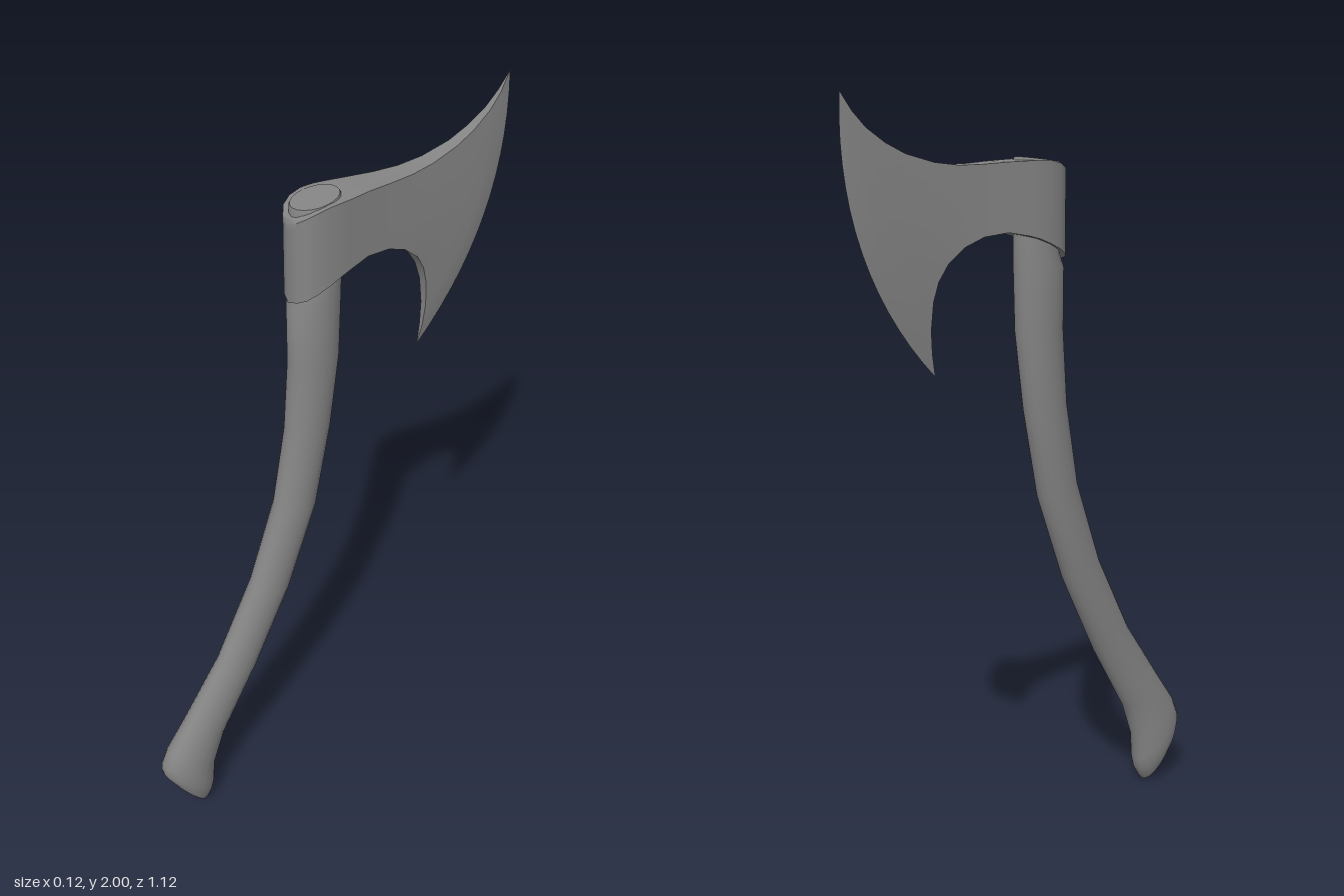
import * as THREE from 'three';
import { toCreasedNormals } from 'three/addons/utils/BufferGeometryUtils.js';

// Skin a list of closed rings (equal point counts); optionally fan-cap both ends.
function loft(rings, capped, crease) {
  const n = rings[0].length;
  const points = rings.flat();
  const index = [];
  for (let r = 0; r < rings.length - 1; r++) {
    for (let i = 0; i < n; i++) {
      const a = r * n + i, b = r * n + (i + 1) % n;
      index.push(a, b, b + n, a, b + n, a + n);
    }
  }
  if (capped) {
    const last = (rings.length - 1) * n;
    for (let i = 1; i < n - 1; i++) {
      index.push(0, i + 1, i, last, last + i, last + i + 1);
    }
  }
  const geometry = new THREE.BufferGeometry();
  geometry.setAttribute('position', new THREE.Float32BufferAttribute(points.flatMap(p => p.toArray()), 3));
  geometry.setIndex(index);
  return toCreasedNormals(geometry, crease);
}

// Oval ring between a front point and a back point, with half width w.
function ovalRing([zf, yf, zb, yb, w], sides = 20) {
  const ring = [];
  for (let i = 0; i < sides; i++) {
    const t = i / sides * Math.PI * 2, c = Math.cos(t) / 2;
    ring.push(new THREE.Vector3(w * Math.sin(t), (yf + yb) / 2 + (yf - yb) * c, (zf + zb) / 2 + (zf - zb) * c));
  }
  return ring;
}

// Upright slice of the head: up the left side, down the right, bowed toward the cutting edge.
function headRing([zt, yt, zb, yb, w, bow], steps = 14) {
  const side = [];
  for (let i = 0; i <= steps; i++) {
    const v = i / steps, d = 4 * v * (1 - v) * 0.083 * bow;
    side.push(new THREE.Vector3(w, yb + (yt - yb) * v - 0.35 * d, zb + (zt - zb) * v - 0.94 * d));
  }
  const other = side.map(p => new THREE.Vector3(-p.x, p.y, p.z)).reverse();
  return [...side, ...other];
}

export function createModel() {
  const group = new THREE.Group();
  const material = new THREE.MeshStandardMaterial({ color: 0x858585 });
  const add = (name, geometry) => {
    const mesh = new THREE.Mesh(geometry, material);
    mesh.name = name;
    group.add(mesh);
  };

  // Curved handle, knob to eye: front z, y, back z, y, half width
  const handle = [
    [0.542, 0.140, 0.436, 0.002, 0.040],
    [0.556, 0.165, 0.425, 0.013, 0.048],
    [0.56, 0.185, 0.410, 0.040, 0.053],
    [0.557, 0.205, 0.402, 0.075, 0.055],
    [0.54, 0.240, 0.397, 0.150, 0.054],
    [0.48, 0.325, 0.360, 0.250, 0.046],
    [0.36, 0.500, 0.243, 0.450, 0.042],
    [0.243, 0.73, 0.127, 0.685, 0.043],
    [0.16, 0.965, 0.037, 0.935, 0.046],
    [0.12, 1.190, -0.01, 1.180, 0.049],
    [0.106, 1.39, -0.037, 1.39, 0.052],
    [0.106, 1.55, -0.042, 1.59, 0.055],
    [0.092, 1.585, -0.042, 1.63, 0.052],
    [0.095, 1.815, -0.04, 1.834, 0.051],
    [0.092, 1.823, -0.037, 1.839, 0.049],
  ];
  add('handle', loft(handle.map(s => ovalRing(s)), true, 0.75));

  // Bearded head, cutting edge to poll: top z, y, bottom z, y, half thickness, bow
  const head = [
    [-0.56, 2.00, -0.30, 1.30, 0, 1],
    [-0.53, 1.953, -0.312, 1.36, 0.006, 0.88],
    [-0.495, 1.915, -0.317, 1.42, 0.010, 0.74],
    [-0.445, 1.88, -0.312, 1.49, 0.014, 0.56],
    [-0.39, 1.853, -0.298, 1.54, 0.018, 0.4],
    [-0.31, 1.831, -0.272, 1.583, 0.024, 0.22],
    [-0.24, 1.823, -0.225, 1.622, 0.030, 0.08],
    [-0.17, 1.824, -0.17, 1.645, 0.037, 0],
    [-0.10, 1.828, -0.10, 1.653, 0.046, 0],
    [-0.04, 1.830, -0.04, 1.642, 0.057, 0],
    [-0.01, 1.831, -0.01, 1.634, 0.061, 0],
    [0.025, 1.83, 0.025, 1.620, 0.062, 0],
    [0.06, 1.822, 0.06, 1.604, 0.058, 0],
    [0.085, 1.810, 0.085, 1.590, 0.047, 0],
    [0.10, 1.796, 0.10, 1.580, 0.028, 0],
    [0.108, 1.785, 0.108, 1.573, 0, 0],
  ];
  add('axeHead', loft(head.map(s => headRing(s)), false, 0.75));

  return group;
}
